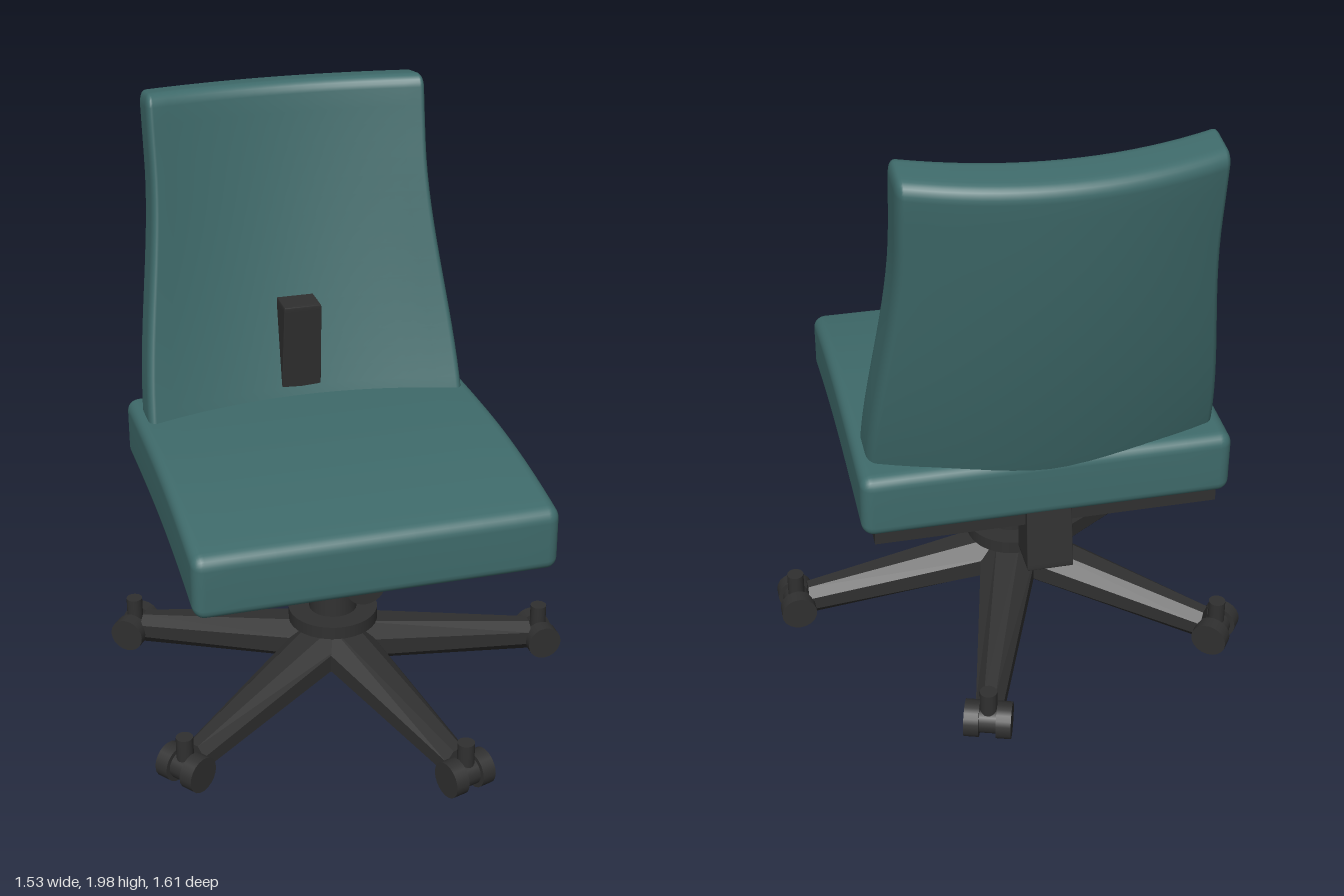
import * as THREE from 'three';
import { mergeVertices } from 'three/addons/utils/BufferGeometryUtils.js';

const CX = -0.06; // the chair's own axis
const { lerp, clamp, smoothstep } = THREE.MathUtils;
const fabric = new THREE.MeshStandardMaterial({ color: 0x3f6b6b });
const plastic = new THREE.MeshStandardMaterial({ color: 0x303030 });
const steel = new THREE.MeshStandardMaterial({ color: 0xcccccc });
const plasticFlat = new THREE.MeshStandardMaterial({ color: 0x303030, flatShading: true });

function add(parent, name, geometry, material, x = 0, y = 0, z = 0) {
  const mesh = new THREE.Mesh(geometry, material);
  mesh.name = name;
  mesh.position.set(x, y, z);
  parent.add(mesh);
  return mesh;
}

// Move every vertex by a rule
function deform(geometry, rule) {
  const p = geometry.attributes.position;
  const v = new THREE.Vector3();
  for (let i = 0; i < p.count; i++) {
    v.fromBufferAttribute(p, i);
    rule(v);
    p.setXYZ(i, v.x, v.y, v.z);
  }
  geometry.computeVertexNormals();
  return geometry;
}

// Finely divided box with rounded edges, bent by a rule
function cushion(w, h, d, r, segments, rule) {
  let g = new THREE.BoxGeometry(2, 2, 2, ...segments);
  g.deleteAttribute('uv');
  g.deleteAttribute('normal');
  g = mergeVertices(g);
  const half = [w / 2, h / 2, d / 2];
  const k = 3; // divisions spent on each rounded edge
  const inner = new THREE.Vector3(), out = new THREE.Vector3();
  return deform(g, (v) => {
    for (let a = 0; a < 3; a++) {
      const n = segments[a], H = half[a];
      const i = Math.round((v.getComponent(a) + 1) / 2 * n);
      let c;
      if (i < k) c = -H + r * i / k;
      else if (i > n - k) c = H - r * (n - i) / k;
      else c = lerp(-H + r, H - r, (i - k) / (n - 2 * k));
      v.setComponent(a, c);
      inner.setComponent(a, clamp(c, -H + r, H - r));
    }
    out.subVectors(v, inner);
    if (out.lengthSq() > 0) v.copy(inner).addScaledVector(out.normalize(), r);
    rule(v);
  });
}

// Seat drops toward the front edge
const seatDrop = (z) => (z > -0.1 ? -0.06 * ((z + 0.1) / 0.65) ** 2 : -0.012 * ((z + 0.1) / 0.45) ** 2);

function addSeat(chair) {
  add(chair, 'seatCushion', cushion(1.18, 0.215, 1.115, 0.04, [16, 8, 24], (v) => {
    v.z += 0.007;
    v.y += 0.83 + seatDrop(v.z);
  }), fabric, CX);
  add(chair, 'seatPan', deform(new THREE.BoxGeometry(1.1, 1, 1.05, 1, 1, 16).toNonIndexed(), (v) => {
    const bottom = 0.7225 + seatDrop(v.z);
    v.y = v.y > 0 ? bottom + 0.02 : bottom - lerp(0.04, 0.006, smoothstep(v.z, -0.1, 0.5));
  }), plastic, CX);
}

function addBackrest(chair) {
  add(chair, 'backrest', cushion(2, 1.13, 0.17, 0.045, [24, 24, 8], (v) => {
    const y = v.y + 1.41;
    const t = (y - 0.94) / 1.04;
    const half = 0.475 + 0.08 * (1 - smoothstep(y, 0.85, 1.75));
    const forward = v.z + lerp(0.105, 0.085, t) * v.x * v.x;
    v.x *= half;
    v.z = -0.475 - 0.205 * t - 0.09 * t * (1 - t) + forward;
    v.y = y + 0.14 * forward;
  }), fabric, CX);
  // Upright bar passing through the seat and showing in front of the backrest
  add(chair, 'backrestBar', cushion(1, 0.75, 1, 0.02, [8, 8, 8], (v) => {
    const t = (v.y + 0.375) / 0.75;
    v.x *= lerp(0.15, 0.13, t);
    v.z = v.z * lerp(0.13, 0.11, t) + lerp(-0.505, -0.415, t);
    v.y += 0.895;
  }), plastic, CX);
}

function addMechanism(chair) {
  add(chair, 'tiltHousing', new THREE.BoxGeometry(0.5, 0.15, 0.605), plastic, CX, 0.617, -0.022);
  add(chair, 'tensionKnob', new THREE.CylinderGeometry(0.065, 0.065, 0.12, 24), plastic, CX, 0.602, 0.333)
    .rotation.x = Math.PI / 2;
  add(chair, 'heightLever', new THREE.CylinderGeometry(0.026, 0.026, 0.26, 16), plastic, 0.305, 0.625, 0.155)
    .rotation.z = Math.PI / 2;
  add(chair, 'gasLift', new THREE.CylinderGeometry(0.055, 0.055, 0.12, 24), steel, CX, 0.5, 0);
  add(chair, 'columnSleeve', new THREE.CylinderGeometry(0.073, 0.082, 0.17, 24), plastic, CX, 0.39, 0);
}

function makeLeg() {
  const leg = new THREE.Group();
  // Tapered, chamfered arm running out along +x
  const arm = new THREE.CylinderGeometry(1.08, 1.08, 1, 8).rotateY(Math.PI / 8).rotateZ(-Math.PI / 2);
  add(leg, 'baseArm', deform(arm, (v) => {
    const t = v.x + 0.5;
    v.x = lerp(0.03, 0.72, t);
    v.y = v.y * lerp(0.077, 0.055, t) + lerp(0.187, 0.076, t);
    v.z *= lerp(0.1, 0.045, t);
  }), plasticFlat);
  const caster = new THREE.Group();
  caster.name = 'caster';
  caster.position.set(0.76, 0.067, 0);
  for (const side of [-1, 1]) {
    add(caster, 'casterWheel', new THREE.CylinderGeometry(0.06, 0.06, 0.048, 20), plastic, 0, 0, side * 0.052)
      .rotation.x = Math.PI / 2;
  }
  add(caster, 'casterBody', new THREE.CylinderGeometry(0.045, 0.045, 0.08, 16), plastic)
    .rotation.x = Math.PI / 2;
  add(caster, 'casterStem', new THREE.CylinderGeometry(0.028, 0.028, 0.11, 16), plastic, 0, 0.06, 0);
  leg.add(caster);
  return leg;
}

function addBase(chair) {
  const base = new THREE.Group();
  base.name = 'starBase';
  base.position.x = CX;
  add(base, 'hub', new THREE.CylinderGeometry(0.11, 0.1, 0.17, 24), plastic, 0, 0.185, 0);
  add(base, 'hubCollar', new THREE.CylinderGeometry(0.152, 0.152, 0.045, 32), plastic, 0, 0.287, 0);
  for (let i = 0; i < 5; i++) {
    const leg = makeLeg();
    leg.name = 'baseLeg' + (i + 1);
    leg.rotation.y = i * Math.PI * 2 / 5;
    base.add(leg);
  }
  chair.add(base);
}

export function createModel() {
  const chair = new THREE.Group();
  chair.name = 'officeChair';
  addSeat(chair);
  addBackrest(chair);
  addMechanism(chair);
  addBase(chair);
  return chair;
}
